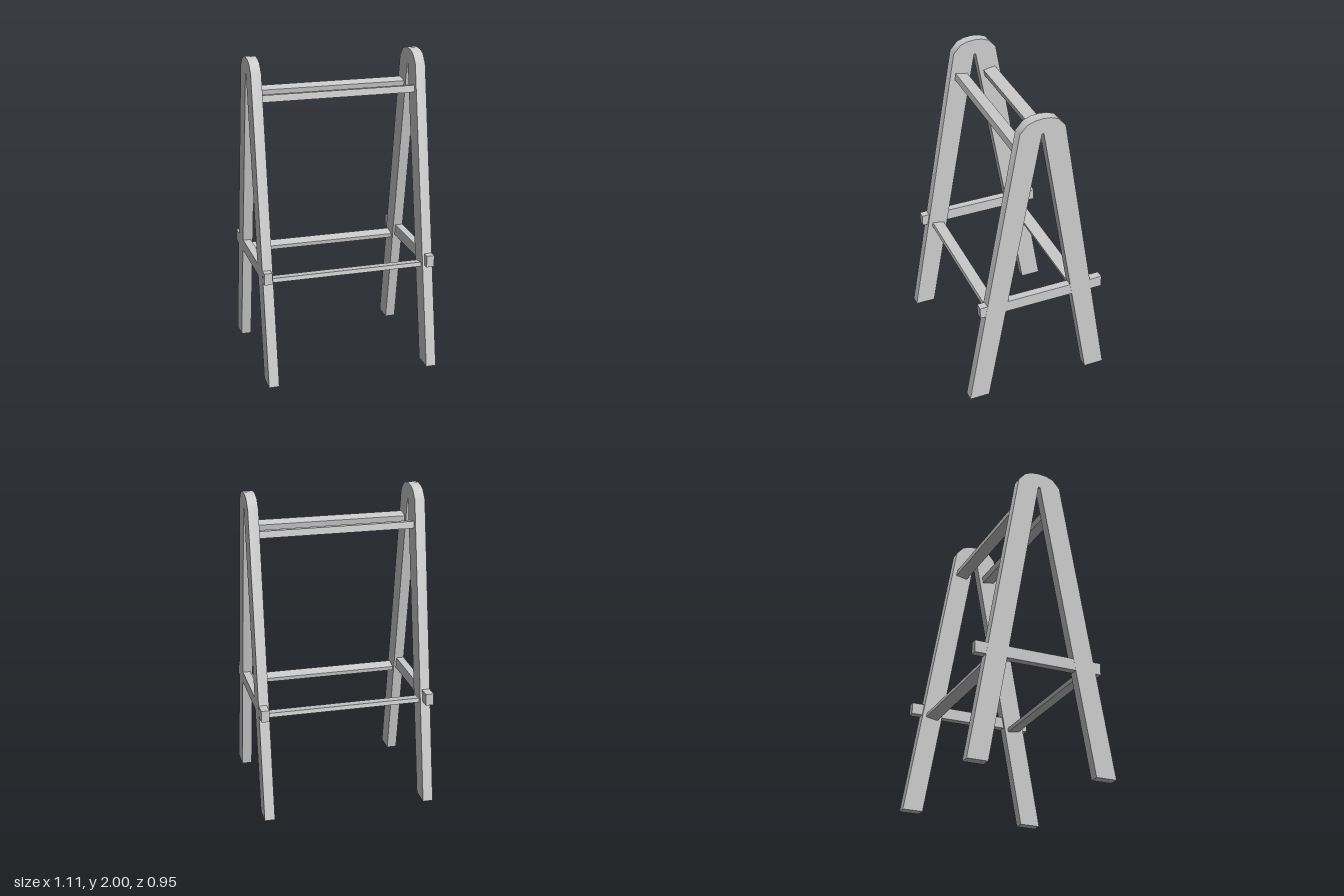
import * as THREE from 'three';
import { toCreasedNormals } from 'three/addons/utils/BufferGeometryUtils.js';

const LEAN = Math.atan(0.33 / 1.92); // slope of the legs
const LEG_INNER = 0.49, LEG_OUTER = 0.555;

export function createModel() {
  const group = new THREE.Group();
  const material = new THREE.MeshStandardMaterial({ color: 0xcccccc });
  const add = (name, geometry, x, y, z) => {
    const mesh = new THREE.Mesh(geometry, material);
    mesh.name = name;
    mesh.position.set(x, y, z);
    group.add(mesh);
    return mesh;
  };

  // A-shaped side frame: half outline (z, y), foot to crown outside, then inside
  const outer = [[0.476, 0], [0.143, 1.925], [0.096, 1.978], [0.05, 1.995]];
  const inner = [[0.006, 1.9], [0.344, 0]];
  const mirror = (pts) => pts.map(([z, y]) => [-z, y]).reverse();
  const outline = [...outer, [0, 2], ...mirror(outer), ...mirror(inner), ...inner];
  const shape = new THREE.Shape(outline.map(([z, y]) => new THREE.Vector2(z, y)));
  const width = LEG_OUTER - LEG_INNER;
  const frame = new THREE.ExtrudeGeometry(shape, { depth: width, bevelEnabled: false });
  frame.translate(0, 0, -width / 2).rotateY(-Math.PI / 2);
  const frameGeometry = toCreasedNormals(frame, 0.7);

  for (const [side, s] of [['left', 1], ['right', -1]]) {
    add(side + 'Frame', frameGeometry, s * (LEG_INNER + LEG_OUTER) / 2, 0, 0);
    // Crossbar through both legs, longer at the back
    add(side + 'Crossbar', new THREE.BoxGeometry(0.05, 0.075, 0.83), s * 0.529, 0.698, -0.017);
  }

  // Rails between the frames, tilted with the legs
  for (const [end, s] of [['front', 1], ['back', -1]]) {
    const rail = (name, height, y, z) => {
      const geometry = new THREE.BoxGeometry(LEG_INNER * 2, height, 0.08);
      add(end + name, geometry, 0, y, s * z - 0.002).rotation.x = -s * LEAN;
    };
    rail('UpperRail', 0.043, 1.759, 0.099);
    rail('LowerRail', 0.027, 0.652, 0.294);
  }
  return group;
}
